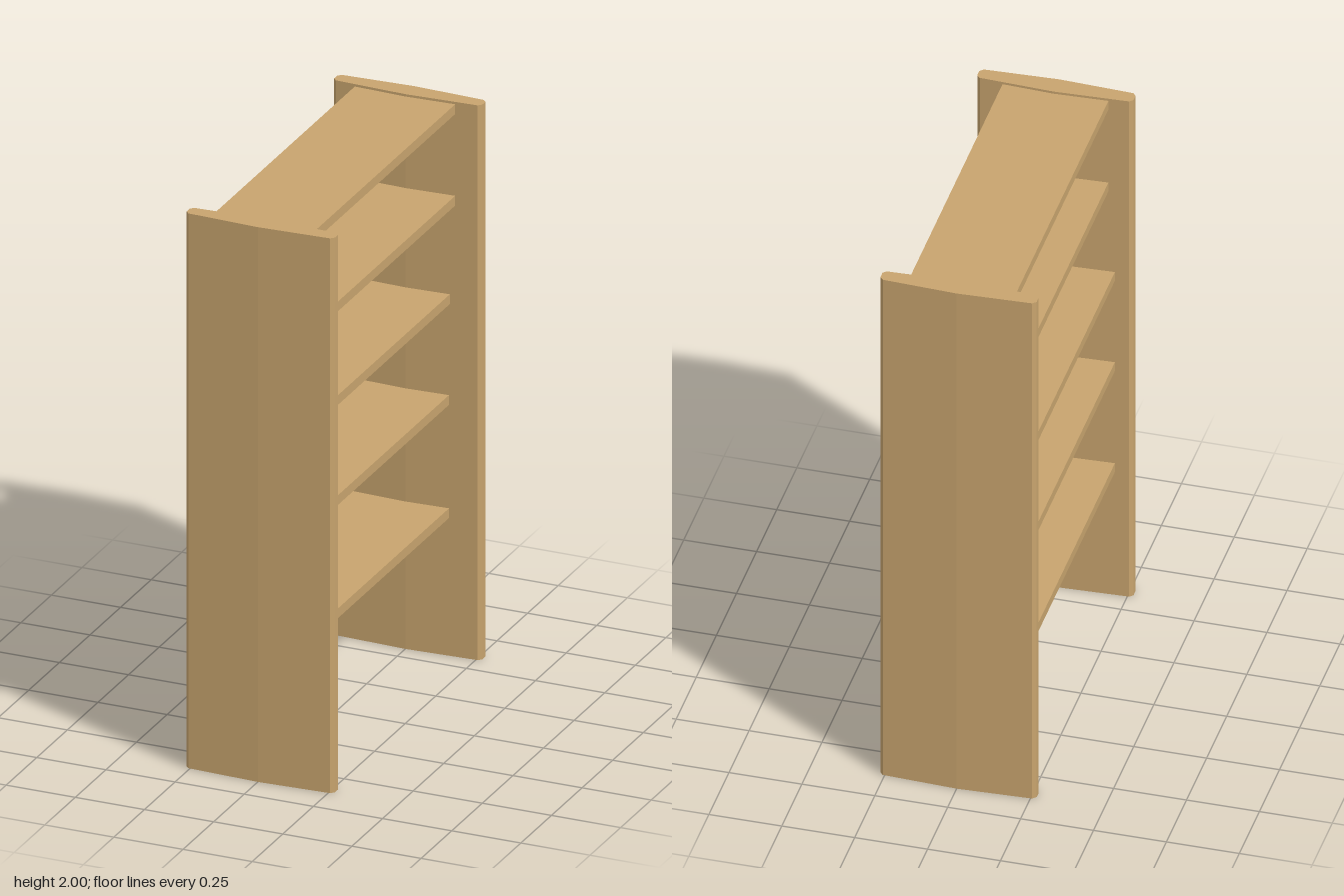
import * as THREE from 'three';

export function createModel() {
  const group = new THREE.Group();
  group.name = 'shelfUnit';
  const wood = new THREE.MeshStandardMaterial({ color: 0xc8a46e, flatShading: true });

  // Lens-shaped cross-section of an upright: x across, y through the thickness
  const half = [[0.268, 0.013], [0.256, 0.025], [0, 0.0365], [-0.256, 0.025], [-0.268, 0.013]];
  const outline = [...half, ...half.map(([x, t]) => [-x, -t])];
  const section = new THREE.Shape(outline.map(([x, t]) => new THREE.Vector2(x, t)));

  // Two full-height side panels
  const panelGeo = new THREE.ExtrudeGeometry(section, { depth: 2, bevelEnabled: false });
  panelGeo.rotateX(-Math.PI / 2);
  for (const [name, side] of [['frontPanel', 1], ['backPanel', -1]]) {
    const panel = new THREE.Mesh(panelGeo, wood);
    panel.name = name;
    panel.position.z = side * 0.6025;
    group.add(panel);
  }

  // Shelves: height of the middle, and extent in x (the lower ones sit further to -x)
  const shelves = [
    [0.514, -0.208, 0.155],
    [0.922, -0.208, 0.155],
    [1.286, -0.208, 0.158],
    [1.644, -0.186, 0.177],
    [1.974, -0.186, 0.177],
  ];
  shelves.forEach(([y, x0, x1], i) => {
    const shelf = new THREE.Mesh(new THREE.BoxGeometry(x1 - x0, 0.035, 1.152), wood);
    shelf.name = `shelf${i + 1}`;
    shelf.position.set((x0 + x1) / 2, y, 0);
    group.add(shelf);
  });

  return group;
}
